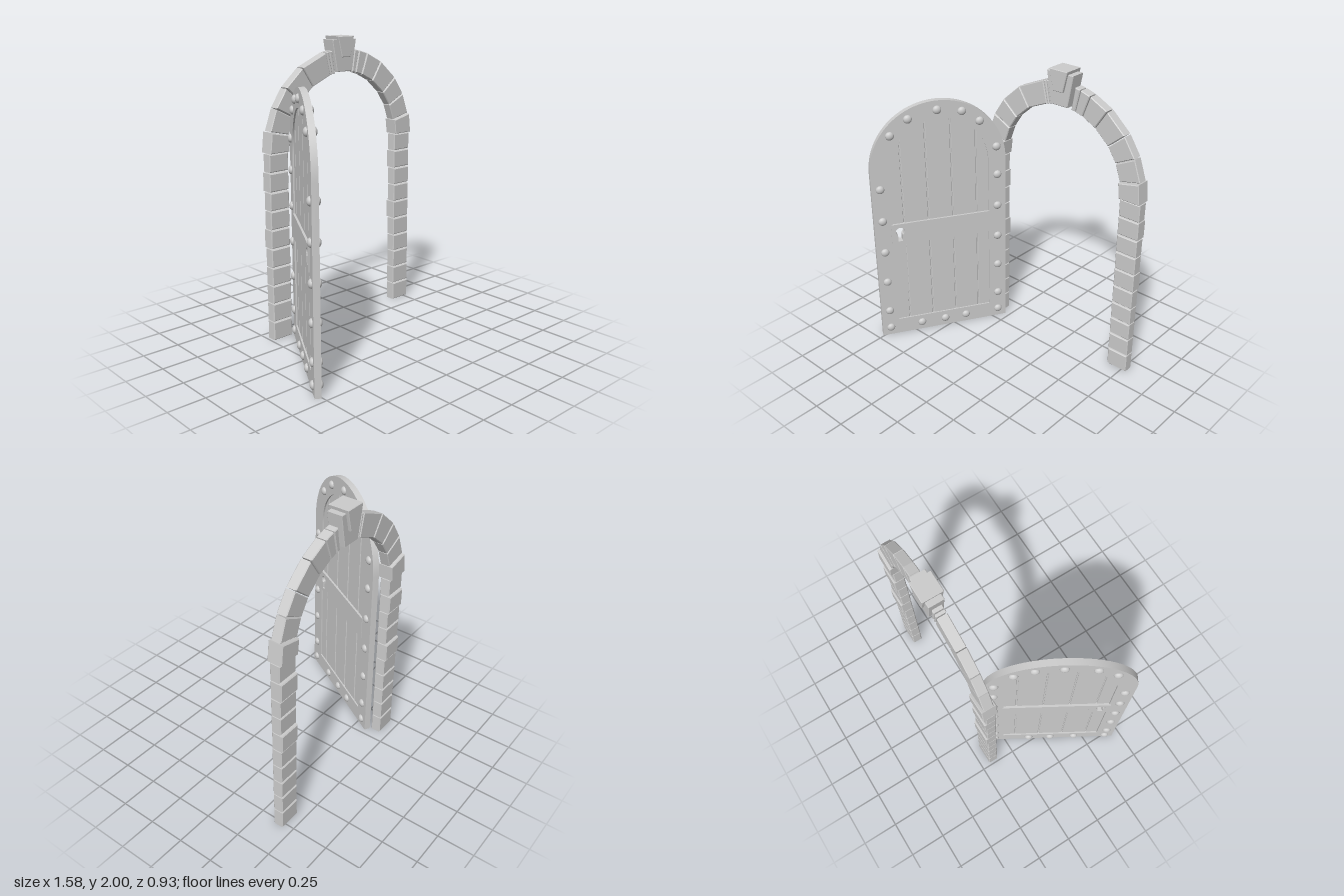
import * as THREE from 'three';
import { toCreasedNormals } from 'three/addons/utils/BufferGeometryUtils.js';

const material = new THREE.MeshStandardMaterial({ color: 0xcccccc });

function addMesh(parent, name, geometry) {
  const mesh = new THREE.Mesh(geometry, material);
  mesh.name = name;
  parent.add(mesh);
  return mesh;
}

// Extrudes a shape centred on z = 0, with an optional chamfer inside its outline
function slab(shape, depth, bevel = 0) {
  const geometry = new THREE.ExtrudeGeometry(shape, {
    depth: depth - 2 * bevel, curveSegments: 24,
    bevelEnabled: bevel > 0, bevelThickness: bevel, bevelSize: bevel,
    bevelOffset: -bevel, bevelSegments: 1,
  });
  geometry.translate(0, 0, -depth / 2 + bevel);
  return toCreasedNormals(geometry, 0.4);
}

const polygon = (points) => new THREE.Shape(points.map(([x, y]) => new THREE.Vector2(x, y)));
const rectangle = (x0, x1, y0, y1) => polygon([[x0, y0], [x1, y0], [x1, y1], [x0, y1]]);

// Stone arch
const SPRING = 1.28, INNER = 0.482, OUTER = 0.633;

function createArch() {
  const arch = new THREE.Group();
  arch.name = 'stoneArch';
  arch.position.set(0.152, 0, -0.404);

  // Pillars of stacked blocks, a few slightly deeper than the rest
  const courses = [0, 0.13, 0.26, 0.387, 0.512, 0.642, 0.772, 0.9, 1.025, 1.155, 1.28];
  for (const side of [-1, 1]) {
    for (let i = 0; i < courses.length - 1; i++) {
      const a = side * INNER, b = side * OUTER;
      const shape = rectangle(Math.min(a, b), Math.max(a, b),
        courses[i] + (i ? 0.004 : 0), courses[i + 1] - 0.004);
      const deep = i === 8 || i === 5;
      const block = addMesh(arch, 'pillarBlock', slab(shape, deep ? 0.08 : 0.07, 0.006));
      if (deep) block.position.z = -0.006;
    }
  }

  // Wedge stones; angles in degrees from the springing line
  const stones = {
    '1': [0, 12.8, 26.8, 40.3, 56.8, 70, 77, 81],
    '-1': [0, 12.8, 26.8, 40.3, 56.6, 76.3, 78.6, 81.3],
  };
  for (const side of [-1, 1]) {
    const angles = stones[side];
    for (let i = 0; i < angles.length - 1; i++) {
      const a = THREE.MathUtils.degToRad(angles[i] + 0.3);
      const b = THREE.MathUtils.degToRad(angles[i + 1] - 0.3);
      const at = (r, t) => [side * r * Math.cos(t), SPRING + r * Math.sin(t)];
      const shape = polygon([at(INNER, a), at(OUTER, a), at(OUTER, b), at(INNER, b)]);
      addMesh(arch, 'archStone', slab(shape, i === 0 ? 0.102 : 0.068, 0.005));
    }
  }

  // Keystone: a wide wedge with a deeper wedge through it
  const wedge = (top, bottom, y0, y1) =>
    polygon([[-bottom, y0], [bottom, y0], [top, y1], [-top, y1]]);
  for (const [name, shape, depth] of [
    ['keystone', wedge(0.104, 0.065, 1.766, 1.979), 0.102],
    ['keystoneFace', wedge(0.07, 0.037, 1.862, 2), 0.139],
  ]) addMesh(arch, name, slab(shape, depth, 0.004)).position.x = -0.006;
  return arch;
}

// Round-topped door
const DOOR_SPRING = 1.286, DOOR_R = 0.4645, PANEL_R = 0.342;

function roundTop(radius, bottom, Type) {
  const path = new Type();
  path.moveTo(-radius, bottom);
  path.lineTo(radius, bottom);
  path.lineTo(radius, DOOR_SPRING);
  path.absarc(0, DOOR_SPRING, radius, 0, Math.PI, false);
  path.closePath();
  return path;
}

// Keyhole: round top with a slot below
function keyhole() {
  const path = new THREE.Path();
  path.absarc(-0.292, 0.838, 0.031, -Math.PI / 2 + 0.55, Math.PI * 1.5 - 0.55, false);
  path.lineTo(-0.308, 0.765);
  path.lineTo(-0.276, 0.765);
  path.closePath();
  return path;
}

// Vertical board whose upper end follows the arch of the frame
function plankShape(x0, x1) {
  const points = [[x0, 0.11], [x1, 0.11]];
  for (let i = 0; i <= 8; i++) {
    const x = x1 + (x0 - x1) * i / 8;
    points.push([x, DOOR_SPRING + Math.sqrt(Math.max(0, 0.35 ** 2 - x * x))]);
  }
  return polygon(points);
}

function createDoor() {
  const door = new THREE.Group();
  door.name = 'door';
  door.position.set(-0.539, 0, 0.05);
  door.rotation.y = THREE.MathUtils.degToRad(59.6);

  const frame = roundTop(DOOR_R, 0, THREE.Shape);
  frame.holes.push(roundTop(PANEL_R, 0.119, THREE.Path));
  addMesh(door, 'doorFrame', slab(frame, 0.042));

  // Thin core that closes the grooves between the planks
  const core = roundTop(0.348, 0.112, THREE.Shape);
  core.holes.push(keyhole());
  addMesh(door, 'plankCore', slab(core, 0.008));

  const joints = [-0.35, -0.258, -0.086, 0.086, 0.258, 0.35];
  for (let i = 0; i < joints.length - 1; i++) {
    const shape = plankShape(joints[i] + 0.004, joints[i + 1] - 0.004);
    if (i === 0) shape.holes.push(keyhole());
    addMesh(door, 'plank', slab(shape, 0.022, 0.003));
  }

  // Cross bar and lock plate
  addMesh(door, 'crossBar', slab(rectangle(-0.218, 0.347, 0.737, 0.897), 0.05));
  const plate = rectangle(-0.352, -0.218, 0.737, 0.897);
  plate.holes.push(keyhole());
  addMesh(door, 'lockPlate', slab(plate, 0.053));

  // Domed studs on both faces
  const studs = [[-0.175, 0.06], [0, 0.06], [0.157, 0.06], [-0.317, 1.544], [-0.194, 1.645],
    [0, 1.687], [0.165, 1.66], [0.285, 1.578], [0.4, 1.38]];
  for (const y of [0.062, 0.207, 0.45, 0.69, 0.933, 1.172]) studs.push([-0.405, y], [0.405, y]);
  const dome = new THREE.SphereGeometry(0.029, 16, 6, 0, Math.PI * 2, 0, Math.PI / 2);
  dome.rotateX(Math.PI / 2);
  dome.scale(1, 1, 0.7);
  for (const [x, y] of studs) {
    for (const face of [1, -1]) {
      const stud = addMesh(door, 'stud', dome);
      stud.position.set(x, y, face * 0.021);
      if (face < 0) stud.rotation.y = Math.PI;
    }
  }
  return door;
}

export function createModel() {
  const model = new THREE.Group();
  model.name = 'archwayWithDoor';
  model.add(createArch(), createDoor());
  return model;
}
